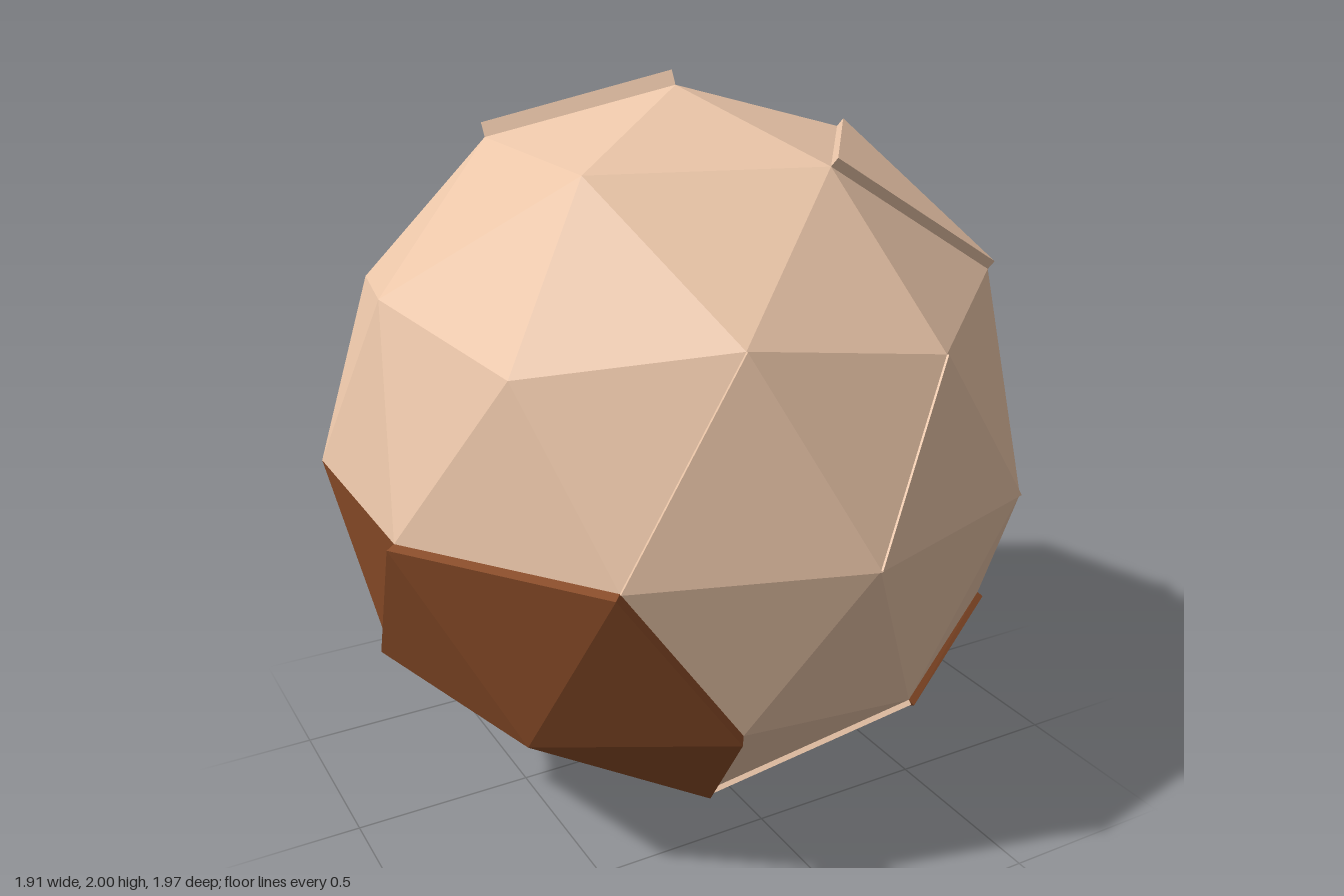
import * as THREE from 'three';

const R = 0.98;
const DEG = Math.PI / 180;

// Named points of a geodesic ball, ring by ring from the top (P) to the bottom (Q)
function makePoints() {
  const pts = { P: new THREE.Vector3(0, R, 0), Q: new THREE.Vector3(0, -R, 0) };
  const ring = (name, count, start, y) => {
    const r = Math.sqrt(1 - y * y);
    for (let i = 0; i < count; i++) {
      const a = (start + (i * 360) / count) * DEG;
      pts[name + i] = new THREE.Vector3(r * Math.cos(a), y, r * Math.sin(a)).multiplyScalar(R);
    }
  };
  ring('T', 5, 0, 0.85065);
  ring('N', 5, 36, 0.52573);
  ring('U', 5, 0, 0.44721);
  ring('E', 10, 18, 0);
  ring('L', 5, 36, -0.44721);
  ring('M', 5, 0, -0.52573);
  ring('B', 5, 36, -0.85065);
  return pts;
}

// The 80 triangles, sixteen for each fifth of the ball
function makeFaces() {
  const faces = [];
  for (let k = 0; k < 5; k++) {
    const n = (k + 1) % 5;
    const e0 = 'E' + ((2 * k + 9) % 10), e1 = 'E' + 2 * k, e2 = 'E' + (2 * k + 1);
    const [T, N, U, L, B, M] = [...'TNULBM'].map((c) => c + k);
    const [Tn, Un, Bn, Ln, Mn] = [...'TULBM'].map((c) => c + n).map((v, i, a) => (i === 2 ? a[3] : i === 3 ? a[2] : v));
    faces.push(
      ['P', T, Tn], [T, N, Tn], [T, U, N], [Tn, N, Un],
      [U, e0, e1], [U, N, e1], [N, e1, e2], [N, Un, e2],
      [L, e1, e2], [M, e0, e1], [M, e1, L], [L, e2, Mn],
      ['Q', B, Bn], [B, Mn, Bn], [B, L, Mn], [Bn, Ln, Mn],
    );
  }
  return faces;
}

const keyOf = (names) => [...names].sort().join(' ');

// Panels pushed out (or in) along their normals
const PANELS = [
  { name: 'topPanel', h: 0.04, faces: ['P T3 T4'] },
  { name: 'upperFrontPanel', h: 0.027, faces: ['T1 T0 N0'] },
  { name: 'leftSidePanel', h: 0.018, faces: ['U0 E9 E0', 'M0 E9 E0'] },
  { name: 'frontPanelRight', h: 0.014, faces: ['N1 E2 E3'] },
  { name: 'frontPanelLeft', h: 0.006, faces: ['U1 E1 E2'] },
  { name: 'lowerFrontPanel', h: 0.014, faces: ['M1 B0 B1'] },
  { name: 'sunkenBackPanel', h: -0.015, faces: ['N3 U4 T4', 'T4 U4 N4', 'U4 N4 E8'] },
  { name: 'brownPanelRight', h: 0.027, brown: true, faces: ['E4 E3 M2', 'E3 L1 M2', 'L1 B1 M2', 'E4 M2 L2'] },
  { name: 'brownPanelLeft', h: 0.02, brown: true, lightEdge: 'L0 M0', faces: ['M1 L0 B0', 'L0 M0 B0', 'M0 B0 B4'] },
];

// Flush brown triangles
const BROWN = [
  'M0 L4 B4', 'L4 M4 B4', 'M4 B4 B3', 'E7 M4 L3', 'E6 L3 M3', 'E6 E5 M3', 'E5 M3 L2',
  'E5 E4 L2', 'L3 M3 B3', 'L3 M4 B3', 'M3 B3 B2', 'Q B0 B4',
];

export function createModel() {
  const group = new THREE.Group();
  const pts = makePoints();
  const skin = new THREE.MeshStandardMaterial({ color: 0xeac5a8, flatShading: true });
  const brown = new THREE.MeshStandardMaterial({ color: 0x8a4c28, flatShading: true });

  const addMesh = (name, tris, material) => {
    const geo = new THREE.BufferGeometry().setFromPoints(tris);
    geo.computeVertexNormals();
    const mesh = new THREE.Mesh(geo, material);
    mesh.name = name;
    mesh.position.y = R;
    group.add(mesh);
  };
  const normalOf = ([a, b, c]) =>
    new THREE.Triangle(pts[a], pts[b], pts[c]).getNormal(new THREE.Vector3());
  // Corner order that faces outward
  const outward = (f) => (normalOf(f).dot(pts[f[0]]) > 0 ? f : [f[0], f[2], f[1]]);

  const faces = new Map(makeFaces().map((f) => [keyOf(f), outward(f)]));
  const take = (text) => {
    const key = keyOf(text.split(' '));
    const f = faces.get(key);
    faces.delete(key);
    return f;
  };

  for (const panel of PANELS) {
    const list = panel.faces.map(take);
    // Each corner moves along the mean normal of the panel faces around it
    const moved = {};
    for (const f of list) for (const v of f) (moved[v] ??= new THREE.Vector3()).add(normalOf(f));
    for (const v in moved) moved[v].normalize().multiplyScalar(panel.h).add(pts[v]);

    const edges = list.flatMap((f) => f.map((v, i) => [v, f[(i + 1) % 3]]));
    const tris = list.flatMap((f) => f.map((v) => moved[v]));
    const lightTris = [];
    for (const [a, b] of edges) {
      if (edges.some(([c, d]) => c === b && d === a)) continue;
      const wall = panel.lightEdge && keyOf([a, b]) === panel.lightEdge ? lightTris : tris;
      wall.push(pts[a], pts[b], moved[b], pts[a], moved[b], moved[a]);
    }
    addMesh(panel.name, tris, panel.brown ? brown : skin);
    if (lightTris.length) addMesh(panel.name + 'LightEdge', lightTris, skin);
  }

  // Flush shell: brown patch, then everything that is left
  const corners = (list) => list.flatMap((f) => f.map((v) => pts[v]));
  addMesh('brownPatch', corners(BROWN.map(take)), brown);
  addMesh('shell', corners([...faces.values()]), skin);
  return group;
}
